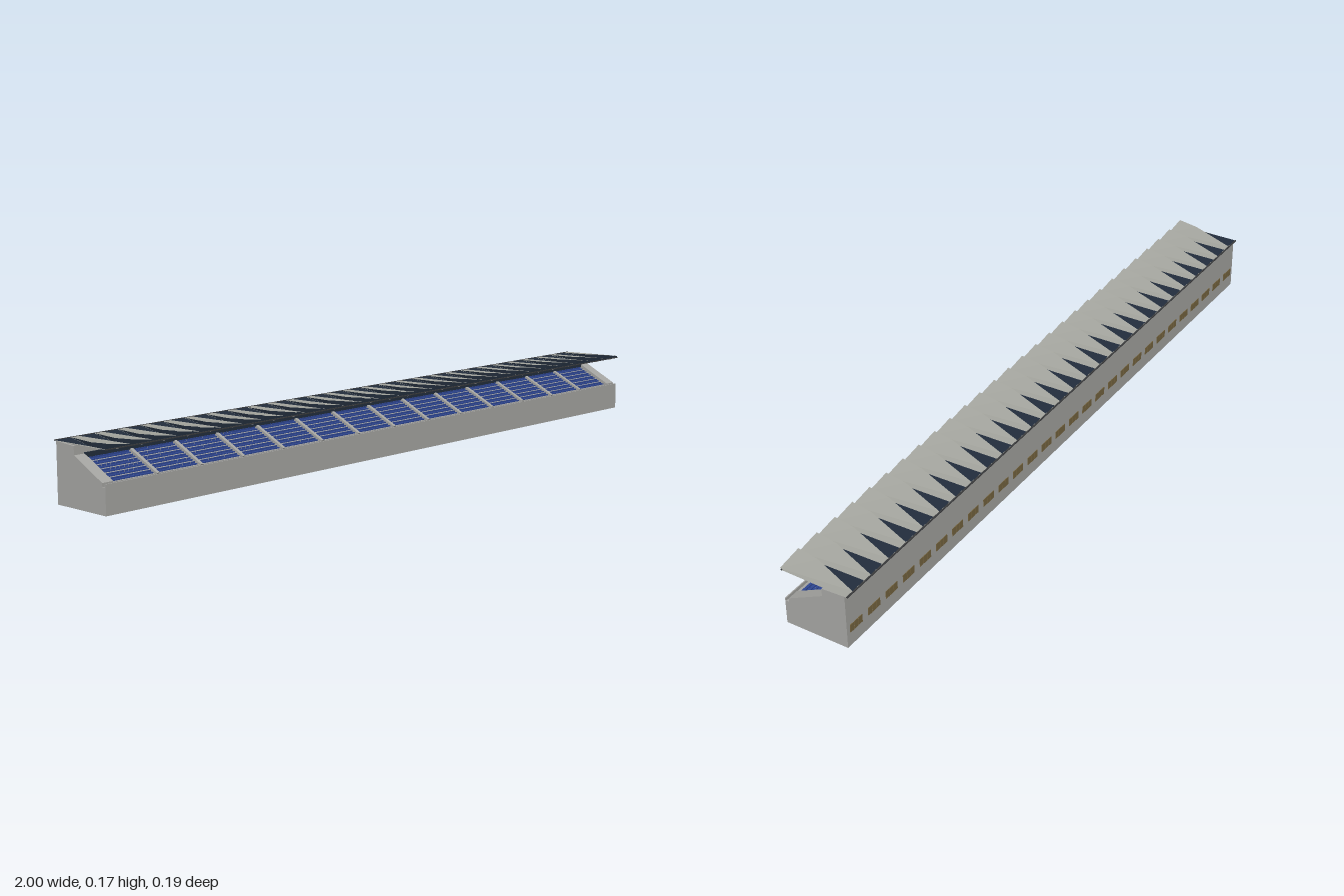
import * as THREE from 'three';
import { mergeGeometries } from 'three/addons/utils/BufferGeometryUtils.js';

const mat = (name, color, side = THREE.FrontSide) => {
  const m = new THREE.MeshStandardMaterial({ color, side });
  m.name = name;
  return m;
};

const box = (w, h, d, x, y, z, rx = 0) =>
  new THREE.BoxGeometry(w, h, d).rotateX(rx).translate(x, y, z);

// flat polygons, each fanned from its first corner
function polygons(list) {
  const p = [];
  for (const pts of list)
    for (let i = 1; i < pts.length - 1; i++) p.push(...pts[0], ...pts[i], ...pts[i + 1]);
  const g = new THREE.BufferGeometry();
  g.setAttribute('position', new THREE.Float32BufferAttribute(p, 3));
  g.computeVertexNormals();
  return g;
}

// (z, y) outline extruded along x, centred on x
function profile(points, width, x) {
  const s = new THREE.Shape(points.map(([z, y]) => new THREE.Vector2(-z, y)));
  return new THREE.ExtrudeGeometry(s, { depth: width, bevelEnabled: false })
    .rotateY(Math.PI / 2).translate(x - width / 2, 0, 0);
}

export function createModel() {
  const group = new THREE.Group();
  const concrete = mat('concrete', 0xa4a4a1);
  const sheet = mat('concrete sheet', 0xa4a4a1, THREE.DoubleSide);
  const roofGrey = mat('roof panel', 0xa3a49d, THREE.DoubleSide);
  const glass = mat('dark glass', 0x222d3c, THREE.DoubleSide);
  const steel = mat('dark steel', 0x3a3b3d);
  const blue = mat('blue seat', 0x2e4692);
  const bronze = mat('bronze window', 0x75643f);
  const add = (name, geo, m) => {
    const mesh = new THREE.Mesh(Array.isArray(geo) ? mergeGeometries(geo) : geo, m);
    mesh.name = name;
    group.add(mesh);
  };

  // outer walls
  add('frontWall', box(1.996, 0.075, 0.003, 0, 0.0375, 0.0895), concrete);
  add('backWall', box(1.996, 0.154, 0.003, 0, 0.077, -0.0865), concrete);
  const end = [[0.091, 0], [0.091, 0.075], [0.088, 0.075], [0.088, 0.067], [0.08, 0.067],
    [0.08, 0.077], [-0.022, 0.128], [-0.022, 0.15], [-0.088, 0.154], [-0.088, 0]];
  add('endWalls', [-1, 1].map(s => profile(end, 0.006, s * 0.997)), concrete);
  add('endPiers', [-1, 1].map(s => profile(
    [[0.08, 0.06], [0.08, 0.077], [-0.022, 0.128], [-0.022, 0.06]], 0.026, s * 0.981)), concrete);

  // stepped terrace and the wall behind it
  const rows = 6, run = 0.016, rise = 0.0075;
  const line = [[0.088, 0.066], [0.075, 0.066]];
  for (let i = 1; i <= rows; i++) {
    const y = 0.066 + i * rise, z = 0.075 - (i - 1) * run;
    line.push([z, y], [i === rows ? -0.022 : z - run, y]);
  }
  line.push([-0.022, 0.153]);
  add('terrace', polygons(line.slice(1).map(([z, y], i) => {
    const [a, b] = line[i];
    return [[-0.995, b, a], [0.995, b, a], [0.995, y, z], [-0.995, y, z]];
  })), sheet);
  add('rearGlazing', box(1.94, 0.013, 0.003, 0, 0.1245, -0.0205), glass);

  // seats in bays, with sloping aisle ribs between
  const bays = 14, pitch = 1.94 / bays, perBay = 9;
  const seats = [], ribs = [];
  const slope = Math.atan2(rise, run);
  for (let b = 0; b < bays; b++) {
    const x0 = -0.97 + b * pitch;
    if (b) ribs.push(box(0.009, 0.009, 0.108, x0, 0.0945, 0.03, slope));
    for (let r = 0; r < rows; r++)
      for (let s = 0; s < perBay; s++) {
        const x = x0 + 0.008 + (s + 0.5) * (pitch - 0.016) / perBay;
        const y = 0.066 + (r + 1) * rise, z = 0.075 - r * run;
        seats.push(box(0.0115, 0.003, 0.009, x, y + 0.0025, z - 0.007));
        seats.push(box(0.0115, 0.007, 0.002, x, y + 0.0045, z - 0.012));
      }
  }
  add('seats', seats, blue);
  add('aisleRibs', ribs, concrete);

  // open cells under the terrace
  const cells = 20, ribsBelow = [];
  const inner = [[0.088, 0.001], [0.088, 0.065], [0.07, 0.066], [-0.02, 0.108],
    [-0.022, 0.15], [-0.085, 0.152], [-0.085, 0.001]];
  for (let i = 1; i < cells; i++) ribsBelow.push(profile(inner, 0.003, -1 + i * 2 / cells));
  add('crossWalls', ribsBelow, concrete);
  add('middleWall', box(1.99, 0.09, 0.003, 0, 0.046, 0), concrete);

  // sawtooth roof: base slab, tilted panels, dark infills
  const teeth = 28, w = 2 / teeth;
  const baseY = z => 0.1535 + (z + 0.097) * 0.017;
  add('roofSlab', polygons([
    [[-1, baseY(-0.097), -0.097], [-1, baseY(0.095), 0.095], [1, baseY(0.095), 0.095], [1, baseY(-0.097), -0.097]]
  ]), roofGrey);
  const panels = [], dark = [], beams = [];
  for (let i = 0; i < teeth; i++) {
    const x0 = -1 + i * w, x1 = x0 + w;
    const A = [x0 + 0.046, 0.1555, -0.092], B = [x1, 0.1555, -0.092];
    const C = [x1, 0.161, 0.098], D = [x0, 0.172, 0.098], E = [x0 + 0.004, 0.1665, 0.038];
    const at = ([x, , z]) => [x, baseY(z) + 0.0006, z];
    panels.push([C, B, A, E, D]);
    // skylight triangle, side infill and front infill
    dark.push([[x0, 0.1548, -0.092], at(E), [x0 + 0.046, 0.1548, -0.092]]);
    dark.push([A, E, at(E)], [E, D, [x0, 0.158, 0.095], at(E)]);
    dark.push([[x0, 0.158, 0.094], [x1, 0.158, 0.094], [x1, 0.1605, 0.094], [x0, 0.1705, 0.094]]);
    // tapering beam under the slab
    beams.push(profile([[0.095, 0.154], [0.095, 0.1565], [-0.022, 0.1545], [-0.022, 0.147]],
      0.004, x0 + w / 2));
  }
  add('roofPanels', polygons(panels), roofGrey);
  add('skylights', polygons(dark), glass);
  add('roofBeams', beams, concrete);
  add('roofEdges', [box(2, 0.0025, 0.004, 0, 0.1545, -0.095),
    box(2, 0.0025, 0.003, 0, 0.1565, 0.0945)], steel);

  // groups of three small windows along the back
  const panes = [];
  for (let i = 0; i < teeth; i++)
    for (let k = -1; k <= 1; k++)
      panes.push(box(0.0145, 0.022, 0.002, -1 + (i + 0.5) * w + k * 0.0165, 0.05, -0.0885));
  add('backWindows', panes, bronze);

  return group;
}
